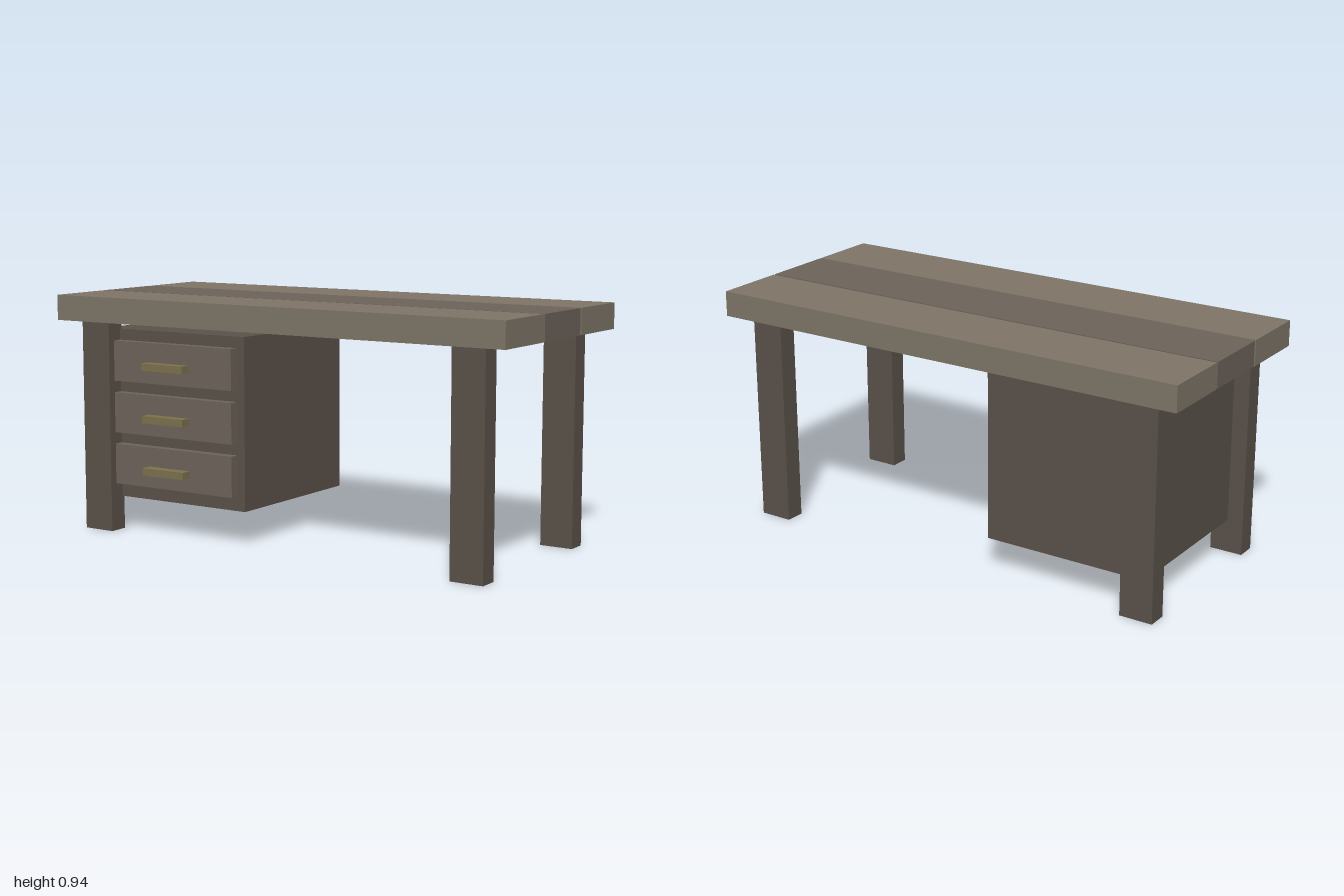
import * as THREE from 'three';

const material = (color) => new THREE.MeshStandardMaterial({ color });

// Box given by its lower and upper limits on each axis
function block(name, mat, [x0, x1], [y0, y1], [z0, z1]) {
  const mesh = new THREE.Mesh(new THREE.BoxGeometry(x1 - x0, y1 - y0, z1 - z0), mat);
  mesh.position.set((x0 + x1) / 2, (y0 + y1) / 2, (z0 + z1) / 2);
  mesh.name = name;
  return mesh;
}

export function createModel() {
  const desk = new THREE.Group();
  desk.name = 'desk';

  const lightWood = material(0x7f7668);
  const midWood = material(0x6d645b);
  const darkWood = material(0x5b524a);
  const brass = material(0x7d7350);

  // Top: three planks with narrow gaps
  const top = new THREE.Group();
  top.name = 'tableTop';
  top.add(
    block('frontPlank', lightWood, [-1, 1], [0.837, 0.937], [0.153, 0.439]),
    block('middlePlank', midWood, [-1, 1], [0.837, 0.937], [-0.142, 0.144]),
    block('backPlank', lightWood, [-1, 1], [0.837, 0.937], [-0.437, -0.151])
  );
  desk.add(top);

  // Four legs
  for (const [side, x] of [['left', 0.838], ['right', -0.838]]) {
    for (const [end, z] of [['Front', 0.361], ['Back', -0.348]]) {
      desk.add(block(`${side}${end}Leg`, darkWood,
        [x - 0.067, x + 0.067], [0, 0.837], [z - 0.039, z + 0.039]));
    }
  }

  // Drawer cabinet hung between the right-hand legs
  const cabinet = new THREE.Group();
  cabinet.name = 'cabinet';
  cabinet.add(block('cabinetBody', darkWood, [-0.84, -0.165], [0.133, 0.806], [-0.332, 0.332]));

  // Three drawers, each with a bar handle
  for (let i = 0; i < 3; i++) {
    const y = 0.27 + i * 0.206;
    const drawer = new THREE.Group();
    drawer.name = `drawer${i + 1}`;
    drawer.add(
      block('drawerFront', midWood, [-0.804, -0.2], [y - 0.08, y + 0.08], [0.32, 0.37]),
      block('drawerHandle', brass, [-0.6, -0.402], [y - 0.025, y + 0.004], [0.37, 0.413])
    );
    cabinet.add(drawer);
  }
  desk.add(cabinet);

  return desk;
}
